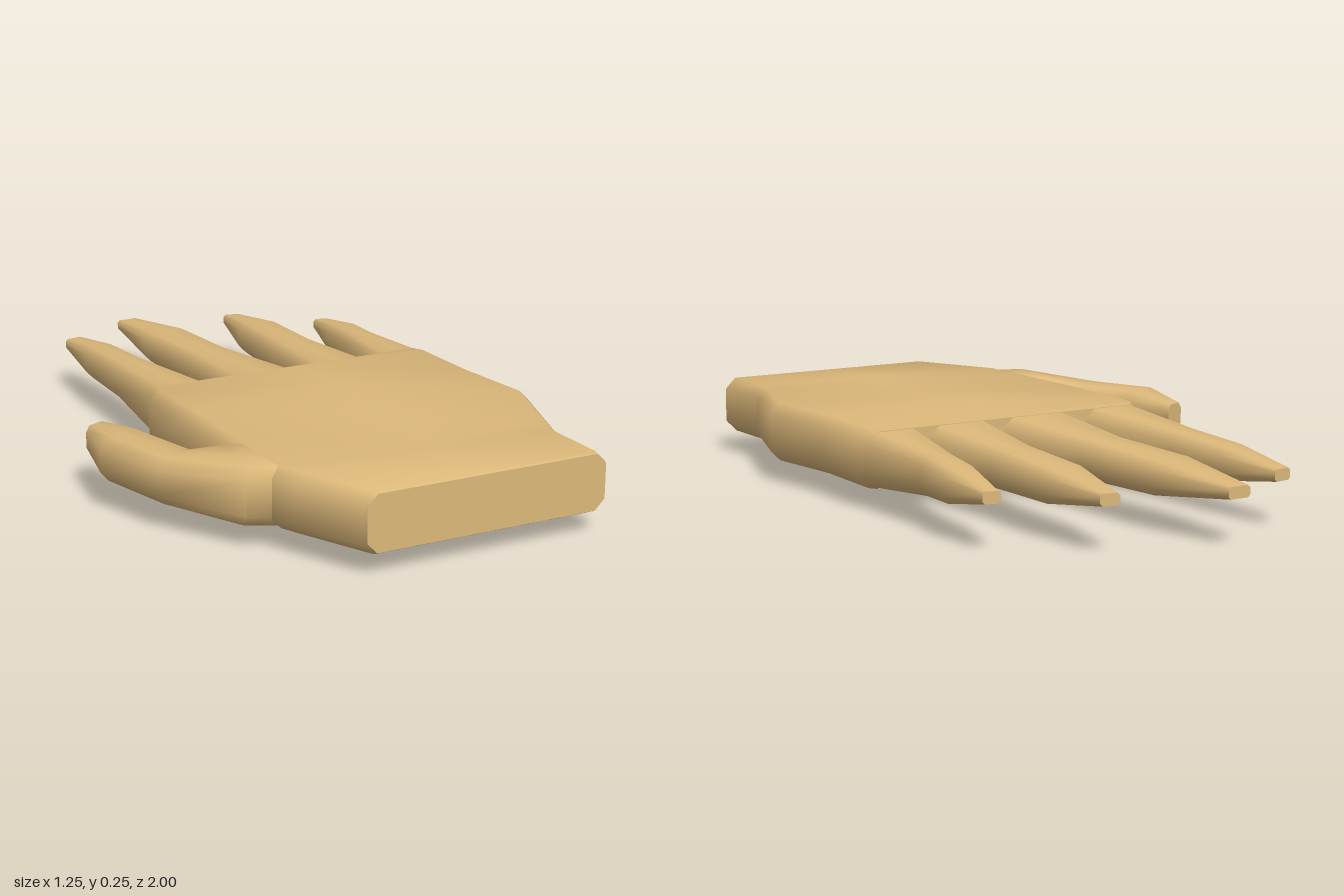
import * as THREE from 'three';
import { toCreasedNormals } from 'three/addons/utils/BufferGeometryUtils.js';

// Bevelled cross-section running from a to b ([x, z]) between heights y0 and y1.
// hump = [under near a, under near b, top] moves the inner points up or down.
function ring({ a, b, y0, y1, hump = [0, 0, 0] }) {
  const bevel = Math.min(0.03, (y1 - y0) * 0.22);
  const inset = Math.min(0.18, bevel / Math.hypot(b[0] - a[0], b[1] - a[1]));
  const at = (t, y) => [a[0] + (b[0] - a[0]) * t, y, a[1] + (b[1] - a[1]) * t];
  return [
    at(inset, y0), at(0.26, y0 + hump[0]), at(0.76, y0 + hump[1]), at(1 - inset, y0),
    at(1, y0 + bevel), at(1, y1 - bevel),
    at(1 - inset, y1), at(0.52, y1 + hump[2]), at(inset, y1),
    at(0, y1 - bevel), at(0, y0 + bevel),
  ];
}

// Closed skin over a row of cross-sections
function loft(sections) {
  const rings = sections.map(ring);
  const n = rings[0].length;
  const positions = rings.flat(2);
  const index = [];
  for (let s = 0; s < rings.length - 1; s++) {
    for (let i = 0; i < n; i++) {
      const f0 = s * n + i, f1 = s * n + (i + 1) % n;
      index.push(f0, f0 + n, f1 + n, f0, f1 + n, f1);
    }
  }
  const last = (rings.length - 1) * n;
  for (let i = 1; i < n - 1; i++) {
    index.push(0, i, i + 1, last, last + i + 1, last + i);
  }
  const geometry = new THREE.BufferGeometry();
  geometry.setAttribute('position', new THREE.Float32BufferAttribute(positions, 3));
  geometry.setIndex(index);
  return toCreasedNormals(geometry.toNonIndexed(), 0.95);
}

export function createModel() {
  const hand = new THREE.Group();
  hand.name = 'hand';
  const skin = new THREE.MeshStandardMaterial({ color: 0xdcb87a });
  skin.name = 'skin';

  const add = (name, sections) => {
    const mesh = new THREE.Mesh(loft(sections), skin);
    mesh.name = name;
    hand.add(mesh);
  };

  // Palm, from the wrist forward to the knuckles: z, left x, right x, heights, hump
  const palm = [
    [1, -0.23, 0.5, 0.065, 0.225],
    [0.99, -0.235, 0.5, 0.06, 0.23],
    [0.79, -0.325, 0.5, 0.06, 0.23],
    [0.72, -0.355, 0.525, 0.06, 0.23],
    [0.45, -0.355, 0.62, 0.06, 0.23],
    [0.19, -0.35, 0.595, 0.06, 0.23, [-0.06, -0.037, 0.02]],
    [-0.05, -0.35, 0.6, 0.057, 0.225],
    [-0.09, -0.33, 0.59, 0.06, 0.222],
  ];
  add('palm', palm.map(([z, x0, x1, y0, y1, hump]) => ({ a: [x0, z], b: [x1, z], y0, y1, hump })));

  // Fingers: both edges at the root, two joints and the tip
  const fingers = {
    indexFinger: [
      [-0.335, -0.06, -0.135, -0.06], [-0.325, -0.1, -0.14, -0.1],
      [-0.295, -0.43, -0.175, -0.45], [-0.29, -0.65, -0.18, -0.66], [-0.265, -0.87, -0.205, -0.88]],
    middleFinger: [
      [-0.095, -0.06, 0.155, -0.06], [-0.08, -0.1, 0.145, -0.1],
      [-0.045, -0.43, 0.105, -0.43], [-0.055, -0.72, 0.095, -0.72], [-0.025, -1, 0.045, -1]],
    ringFinger: [
      [0.17, -0.06, 0.4, -0.06], [0.19, -0.1, 0.393, -0.09],
      [0.24, -0.4, 0.385, -0.39], [0.262, -0.68, 0.395, -0.65], [0.315, -0.9, 0.37, -0.89]],
    littleFinger: [
      [0.405, -0.05, 0.596, -0.05], [0.418, -0.09, 0.593, -0.08],
      [0.49, -0.4, 0.59, -0.37], [0.505, -0.53, 0.61, -0.51], [0.555, -0.715, 0.605, -0.705]],
  };
  const heights = [[0.06, 0.222], [0.063, 0.22], [0.09, 0.2], [0.095, 0.19], [0.127, 0.16]];
  for (const [name, rows] of Object.entries(fingers)) {
    add(name, rows.map(([ax, az, bx, bz], i) => ({
      a: [ax, az], b: [bx, bz], y0: heights[i][0], y1: heights[i][1],
    })));
  }

  // Thumb, branching from the side of the palm
  add('thumb', [
    { a: [-0.32, 0.735], b: [-0.32, 0.47], y0: 0.062, y1: 0.228 },
    { a: [-0.415, 0.695], b: [-0.355, 0.455], y0: 0.064, y1: 0.227 },
    { a: [-0.56, 0.45], b: [-0.42, 0.405], y0: 0.073, y1: 0.205 },
    { a: [-0.625, 0.23], b: [-0.48, 0.18], y0: 0.08, y1: 0.208 },
    { a: [-0.59, 0.05], b: [-0.52, 0.02], y0: 0.105, y1: 0.185 },
  ]);

  return hand;
}
